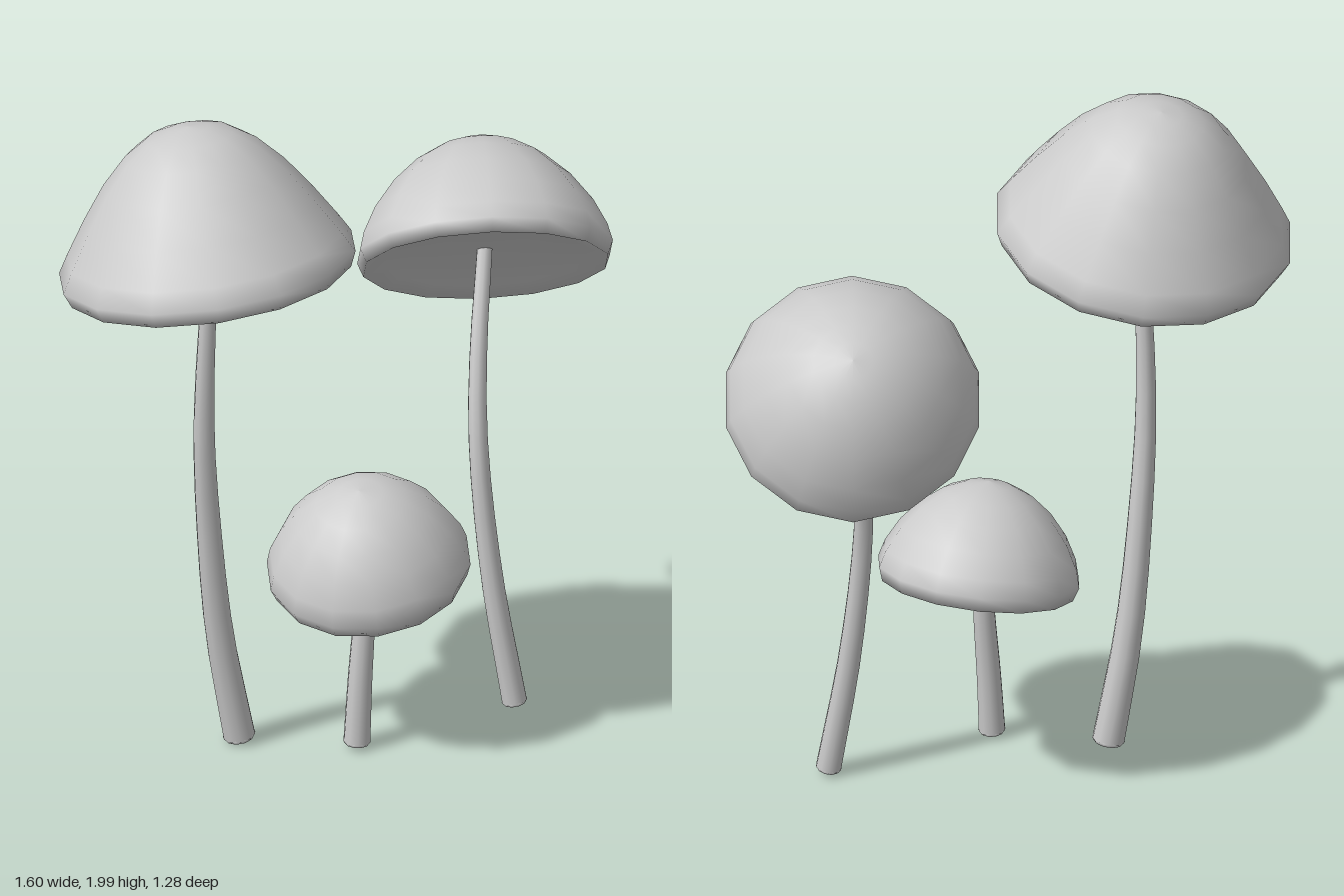
import * as THREE from 'three';

const UP = new THREE.Vector3(0, 1, 0);
const material = new THREE.MeshStandardMaterial({ color: 0xcccccc });

// Tapered, bent stem along a curve, with a rounded foot
function makeStem(path, r0, r1) {
  const group = new THREE.Group();
  group.name = 'stem';
  const curve = new THREE.CatmullRomCurve3(path.map((p) => new THREE.Vector3(...p)));
  const segments = 12, sides = 10;
  const geometry = new THREE.TubeGeometry(curve, segments, 1, sides);
  const pos = geometry.attributes.position, nor = geometry.attributes.normal;
  const p = new THREE.Vector3(), n = new THREE.Vector3();
  for (let i = 0; i < pos.count; i++) {
    const t = Math.floor(i / (sides + 1)) / segments;
    const r = THREE.MathUtils.lerp(r0, r1, t);
    p.fromBufferAttribute(pos, i);
    n.fromBufferAttribute(nor, i);
    p.addScaledVector(n, r - 1);
    pos.setXYZ(i, p.x, p.y, p.z);
  }
  const shaft = new THREE.Mesh(geometry, material);
  shaft.name = 'stemShaft';

  const foot = new THREE.Mesh(new THREE.SphereGeometry(r0, sides, 6), material);
  foot.name = 'stemFoot';
  foot.scale.y = 0.4;
  foot.position.copy(curve.getPointAt(0));
  foot.quaternion.setFromUnitVectors(UP, curve.getTangentAt(0));
  group.add(shaft, foot);
  return group;
}

// Domed cap with a soft rim and a shallow hollow underside
function makeCap(center, axis, radius, hollow, dome) {
  const underside = [
    [0, hollow], [radius * 0.45, hollow * 0.9], [radius * 0.8, hollow * 0.5], [radius * 0.96, 0],
  ];
  const profile = [...underside, ...dome].map(([x, y]) => new THREE.Vector2(x, y));
  const cap = new THREE.Mesh(new THREE.LatheGeometry(profile, 14), material);
  cap.name = 'cap';
  cap.position.set(...center);
  cap.quaternion.setFromUnitVectors(UP, new THREE.Vector3(...axis).normalize());
  return cap;
}

const mushrooms = [
  {
    name: 'tallMushroom',
    stem: [[-0.288, 0.018, 0.075], [-0.345, 0.35, 0.1], [-0.378, 0.7, 0.135], [-0.395, 1.05, 0.175], [-0.378, 1.62, 0.21]],
    radii: [0.047, 0.021],
    center: [-0.383, 1.54, 0.222], axis: [-0.125, 1, -0.14], radius: 0.426, hollow: 0.05,
    dome: [[0.428, 0.045], [0.397, 0.1], [0.335, 0.2], [0.265, 0.3], [0.192, 0.38], [0.125, 0.427], [0.06, 0.449], [0, 0.455]],
  },
  {
    name: 'smallMushroom',
    stem: [[0.041, 0.017, 0.14], [0.05, 0.2, 0.132], [0.063, 0.4, 0.12], [0.068, 0.57, 0.11]],
    radii: [0.039, 0.029],
    center: [0.083, 0.512, 0.078], axis: [-0.12, 1, 0.23], radius: 0.29, hollow: 0.035,
    dome: [[0.292, 0.04], [0.278, 0.09], [0.242, 0.157], [0.19, 0.22], [0.13, 0.268], [0.065, 0.298], [0, 0.308]],
  },
  {
    name: 'tiltedMushroom',
    stem: [[0.504, 0.017, -0.083], [0.442, 0.4, -0.1], [0.406, 0.8, -0.132], [0.41, 1.05, -0.197], [0.44, 1.36, -0.325]],
    radii: [0.037, 0.022],
    center: [0.438, 1.292, -0.286], axis: [0, 0.74, -0.67], radius: 0.366, hollow: 0.045,
    dome: [[0.367, 0.04], [0.354, 0.09], [0.317, 0.165], [0.256, 0.246], [0.185, 0.31], [0.115, 0.35], [0.055, 0.369], [0, 0.376]],
  },
];

export function createModel() {
  const model = new THREE.Group();
  model.name = 'mushroomCluster';
  for (const m of mushrooms) {
    const mushroom = new THREE.Group();
    mushroom.name = m.name;
    mushroom.add(makeStem(m.stem, ...m.radii), makeCap(m.center, m.axis, m.radius, m.hollow, m.dome));
    model.add(mushroom);
  }
  return model;
}
